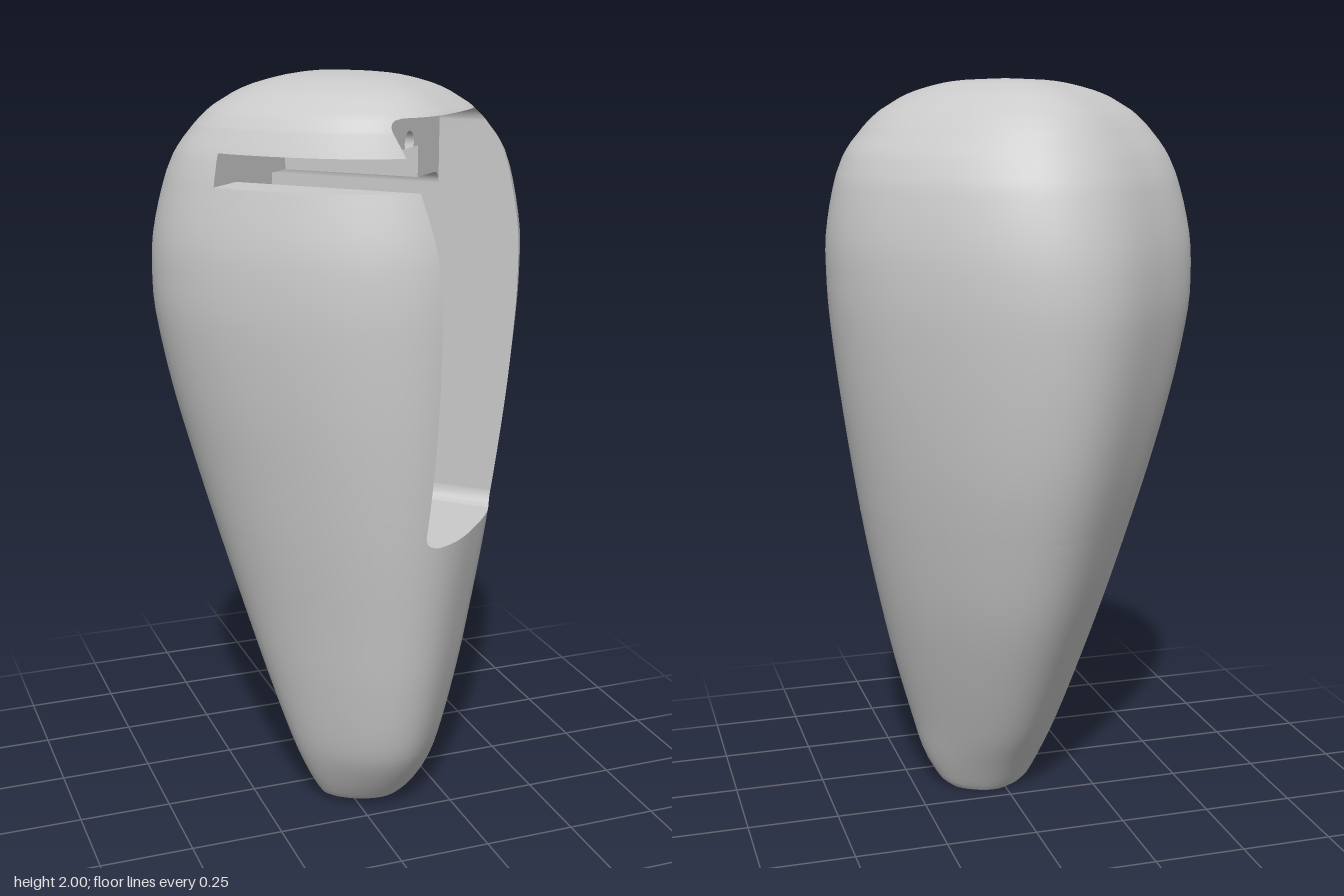
import * as THREE from 'three';

// Local frame: x across the pocket, z out through the pocket; the body is turned 45 degrees.
// Body outline by height: y, xMin, xMax, zMin, zMax
const OUTLINE = [
  [0, -0.05, 0.14, 0.045, 0.16], [0.02, -0.08, 0.17, 0.03, 0.2],
  [0.1, -0.125, 0.215, -0.02, 0.265], [0.2, -0.165, 0.245, -0.085, 0.325],
  [0.4, -0.225, 0.3, -0.19, 0.375], [0.6, -0.28, 0.347, -0.282, 0.407],
  [0.8, -0.335, 0.387, -0.352, 0.434], [1, -0.388, 0.42, -0.41, 0.453],
  [1.2, -0.438, 0.449, -0.447, 0.465], [1.4, -0.475, 0.471, -0.467, 0.469],
  [1.5, -0.48, 0.476, -0.466, 0.466], [1.6, -0.475, 0.475, -0.453, 0.455],
  [1.74, -0.443, 0.45, -0.412, 0.42], [1.82, -0.41, 0.417, -0.368, 0.394],
  [1.91, -0.335, 0.337, -0.298, 0.352], [1.96, -0.25, 0.257, -0.23, 0.282],
  [1.985, -0.165, 0.18, -0.16, 0.203], [1.996, -0.09, 0.11, -0.095, 0.125],
  [2, 0.01, 0.01, 0.015, 0.015],
];
const LOW = 0.84, HIGH = 1.91;            // pocket bottom and top
const FLOOR = 1.0, ROOF = 1.74;           // deep cavity bottom and top
const SLOT_TOP = 1.82, SLOT_Z = -0.155, SLOT_X = 0.014;
const LEFT = -0.26, RIGHT = 0.16;         // pocket sides
const LEDGE = 0.222, DEEP = -0.27;        // depths of the ledges and the cavity
const CORNER = 0.035, FILLET = 0.03, HOLE = 0.03, HOLE_X = -0.045;
const clamp = THREE.MathUtils.clamp;

// Smooth interpolation of the outline table
function outlineAt(y) {
  let i = 0;
  while (i < OUTLINE.length - 2 && y > OUTLINE[i + 1][0]) i++;
  const slope = (k, c) => {
    const p = OUTLINE[Math.max(k - 1, 0)], q = OUTLINE[Math.min(k + 1, OUTLINE.length - 1)];
    return (q[c] - p[c]) / (q[0] - p[0]);
  };
  const a = OUTLINE[i], b = OUTLINE[i + 1], d = b[0] - a[0], t = (y - a[0]) / d;
  return [1, 2, 3, 4].map((c) =>
    a[c] * (1 + 2 * t) * (1 - t) ** 2 + b[c] * t * t * (3 - 2 * t) +
    d * (slope(i, c) * t * (1 - t) ** 2 + slope(i + 1, c) * t * t * (t - 1)));
}

// Radius of the unit rounded square: fuller on the pocket side, flatter on the far side
function unitRadius(c, s) {
  const [a, q] = c > 0 ? [0.97, 3.15] : [0.925, 3.6];
  let r = 1;
  for (let i = 0; i < 14; i++) {
    r *= (Math.abs(r * c / a) ** 2.2 + Math.abs(r * s / 0.885) ** q) ** (-1 / 2.8);
  }
  return r;
}

// Point on the body at height y and angle phi, in the local frame
function skinPoint(y, phi, scale = 1) {
  const [x0, x1, z0, z1] = outlineAt(y);
  const c = Math.cos(phi), s = Math.sin(phi), r = scale * unitRadius(c, s);
  const x = (x0 + x1) / 2 + (x1 - x0) / 2 * r * (c + s) * Math.SQRT1_2;
  const z = (z0 + z1) / 2 + (z1 - z0) / 2 * r * (c - s) * Math.SQRT1_2;
  return [(x - z) * Math.SQRT1_2, y, (x + z) * Math.SQRT1_2];
}

// Angle where one local coordinate reaches a value
function solve(y, axis, value, lo, hi) {
  for (let i = 0; i < 40; i++) {
    const mid = (lo + hi) / 2;
    if (skinPoint(y, mid)[axis] < value) lo = mid; else hi = mid;
  }
  return (lo + hi) / 2;
}

// Rounding of the pocket's corners
function inset(y) {
  const d = Math.min(y - LOW, HIGH - y);
  return d >= CORNER ? 0 : CORNER - Math.sqrt(Math.max(0, CORNER ** 2 - (CORNER - d) ** 2));
}

// One ring of the skin: pocket arc, slot arc, then the rest
const NA = 16, NB = 22, NC = 48;
function ring(y, scale = 1) {
  const py = clamp(y, LOW, HIGH), sy = clamp(y, ROOF, SLOT_TOP);
  const p = solve(py, 0, RIGHT - inset(py), -1.3, 1.3);
  const q = solve(py, 0, LEFT + inset(py), -1.3, 1.3);
  const s = solve(sy, 2, SLOT_Z, -Math.PI, 0);
  const pts = [];
  const arc = (a, b, n) => {
    for (let i = 0; i < n; i++) pts.push(skinPoint(y, a + (b - a) * i / n, scale));
  };
  arc(p, q, NA);
  arc(q, s, NB);
  arc(s, p - 2 * Math.PI, NC);
  pts.push(pts[0].slice());
  return pts;
}

// Surface through rows of points; keep() may leave openings
function loft(rows, keep = () => true) {
  const n = rows[0].length, all = [], kept = [];
  for (let i = 0; i < rows.length - 1; i++) for (let j = 0; j < n - 1; j++) {
    const a = i * n + j, b = a + n;
    const f = [a, b, a + 1, b, b + 1, a + 1];
    all.push(...f);
    if (keep(i, j)) kept.push(...f);
  }
  const g = new THREE.BufferGeometry();
  g.setAttribute('position', new THREE.Float32BufferAttribute(rows.flat(2), 3));
  g.setIndex(all);
  g.computeVertexNormals();
  g.setIndex(kept);
  return g;
}

export function createModel() {
  const group = new THREE.Group();
  group.name = 'teardropShell';
  const body = new THREE.Group();
  body.name = 'body';
  body.rotation.y = Math.PI / 4;
  group.add(body);
  const grey = new THREE.MeshStandardMaterial({ color: 0xcacaca, side: THREE.DoubleSide });
  grey.name = 'plain grey';
  const add = (name, geometry) => {
    const m = new THREE.Mesh(geometry, grey);
    m.name = name;
    body.add(m);
    return m;
  };
  const quad = (name, a, b, c, d) => add(name, loft([[a, b], [d, c]]));

  // Heights of the rings, with exact rows at every opening
  const set = new Set([0.005, 0.01, 0.02, LOW, FLOOR, ROOF, SLOT_TOP, HIGH, 1.95, 1.96, 1.97, 1.98, 1.985, 1.99, 1.993, 1.996, 1.998, 1.999, 2]);
  for (let i = 0; i < 50; i++) set.add(i / 25);
  for (const d of [0.004, 0.01, 0.02, CORNER]) set.add(LOW + d).add(HIGH - d);
  const ys = [...set].sort((a, b) => a - b);
  const rings = ys.map((y) => ring(y));

  // Outer skin with the pocket and slot left open
  const inPocket = (y) => y > LOW && y < HIGH, inSlot = (y) => y > ROOF && y < SLOT_TOP;
  add('outerSkin', loft([ring(0, 0), ...rings], (i, j) => {
    if (i === 0) return true;
    const mid = (ys[i - 1] + ys[i]) / 2;
    return !(j < NA && inPocket(mid)) && !(j >= NA && j < NA + NB && inSlot(mid));
  }));

  // Pocket side walls, from the skin in to the ledges or the cavity back
  const side = (name, col, from, to, depth) => {
    const rows = [];
    ys.forEach((y, i) => {
      const p = rings[i][col];
      if (y >= from && y <= to) rows.push([p, [p[0], y, depth]]);
    });
    add(name, loft(rows));
  };
  for (const [name, col] of [['rightWall', 0], ['leftWall', NA]]) {
    side(name + 'Lower', col, LOW, FLOOR, LEDGE);
    side(name + 'Middle', col, FLOOR, ROOF, DEEP);
    side(name + 'Upper', col, SLOT_TOP, HIGH, LEDGE);
  }
  side('rightWallSlot', 0, ROOF, SLOT_TOP, LEDGE);
  for (const [name, y] of [['pocketSill', LOW], ['pocketHead', HIGH]]) {
    const edge = rings[ys.indexOf(y)].slice(0, NA + 1);
    add(name, loft([edge, edge.map((p) => [p[0], y, LEDGE])]));
  }

  // Deep cavity
  const level = (name, y, x0, x1, z0, z1) =>
    quad(name, [x0, y, z0], [x0, y, z1], [x1, y, z1], [x1, y, z0]);
  level('cavityFloor', FLOOR, LEFT, RIGHT, DEEP, LEDGE);
  level('cavityRoofBack', ROOF, LEFT, RIGHT, DEEP, SLOT_Z);
  level('cavityRoofSide', ROOF, SLOT_X, RIGHT, SLOT_Z, LEDGE);
  quad('cavityBack', [LEFT, FLOOR, DEEP], [RIGHT, FLOOR, DEEP], [RIGHT, ROOF, DEEP], [LEFT, ROOF, DEEP]);

  // Fillets along the cavity's long edges
  const arcPoints = (cx, cy, r, a0, a1, z, n) => Array.from({ length: n + 1 }, (_, i) => {
    const a = a0 + (a1 - a0) * i / n;
    return [cx + r * Math.cos(a), cy + r * Math.sin(a), z];
  });
  const H = Math.PI / 2, inRight = RIGHT - FILLET, inLeft = LEFT + FILLET;
  for (const [name, x, y, a] of [['floorFilletRight', inRight, FLOOR + FILLET, -H],
    ['floorFilletLeft', inLeft, FLOOR + FILLET, -2 * H], ['roofFilletRight', inRight, ROOF - FILLET, 0]]) {
    add(name, loft([DEEP, LEDGE].map((z) => arcPoints(x, y, FILLET, a, a + H, z, 8))));
  }

  // Ledges with screw holes; the upper hole is cut open by the slot
  const cut = Math.asin(0.012 / HOLE), lowerY = 0.922, upperY = SLOT_TOP + 0.012;
  const lower = new THREE.Shape();
  lower.moveTo(LEFT, LOW).lineTo(RIGHT, LOW).lineTo(RIGHT, FLOOR + FILLET);
  lower.absarc(inRight, FLOOR + FILLET, FILLET, 0, -H, true);
  lower.absarc(inLeft, FLOOR + FILLET, FILLET, -H, -2 * H, true);
  lower.holes.push(new THREE.Path().absarc(HOLE_X, lowerY, HOLE, 0, Math.PI * 2, true));
  const upper = new THREE.Shape();
  upper.moveTo(LEFT + CORNER, HIGH).lineTo(LEFT, HIGH - CORNER).lineTo(LEFT, SLOT_TOP);
  upper.absarc(HOLE_X, upperY, HOLE, Math.PI + cut, -cut, true);
  upper.lineTo(SLOT_X, SLOT_TOP).lineTo(SLOT_X, ROOF);
  upper.absarc(inRight, ROOF - FILLET, FILLET, H, 0, true);
  upper.lineTo(RIGHT, HIGH);
  for (const [name, shape, y, a0, a1] of [['lowerLedge', lower, lowerY, 0, Math.PI * 2],
    ['upperLedge', upper, upperY, -cut, Math.PI + cut]]) {
    add(name, new THREE.ShapeGeometry(shape, 20)).position.z = LEDGE;
    add(name + 'Hole', loft([LEDGE, LEDGE - 0.1].map((z) => arcPoints(HOLE_X, y, HOLE, a0, a1, z, 24))));
    const end = new THREE.Shape().absarc(HOLE_X, y, HOLE, a0, a1, false);
    add(name + 'HoleEnd', new THREE.ShapeGeometry(end, 20)).position.z = LEDGE - 0.1;
  }

  // Side slot, from the pocket out through the neighbouring face
  for (const [name, y] of [['slotFloor', ROOF], ['slotRoof', SLOT_TOP]]) {
    const edge = rings[ys.indexOf(y)].slice(NA, NA + NB + 1);
    add(name, loft([edge, edge.map((p) => [LEFT, y, p[2]])]));
  }
  level('slotRoofInner', SLOT_TOP, LEFT, SLOT_X, SLOT_Z, LEDGE);
  const backRows = [];
  ys.forEach((y, i) => {
    if (y >= ROOF && y <= SLOT_TOP) backRows.push([rings[i][NA + NB], [SLOT_X, y, SLOT_Z]]);
  });
  add('slotBack', loft(backRows));
  quad('slotEnd', [SLOT_X, ROOF, SLOT_Z], [SLOT_X, ROOF, LEDGE], [SLOT_X, SLOT_TOP, LEDGE], [SLOT_X, SLOT_TOP, SLOT_Z]);
  return group;
}
